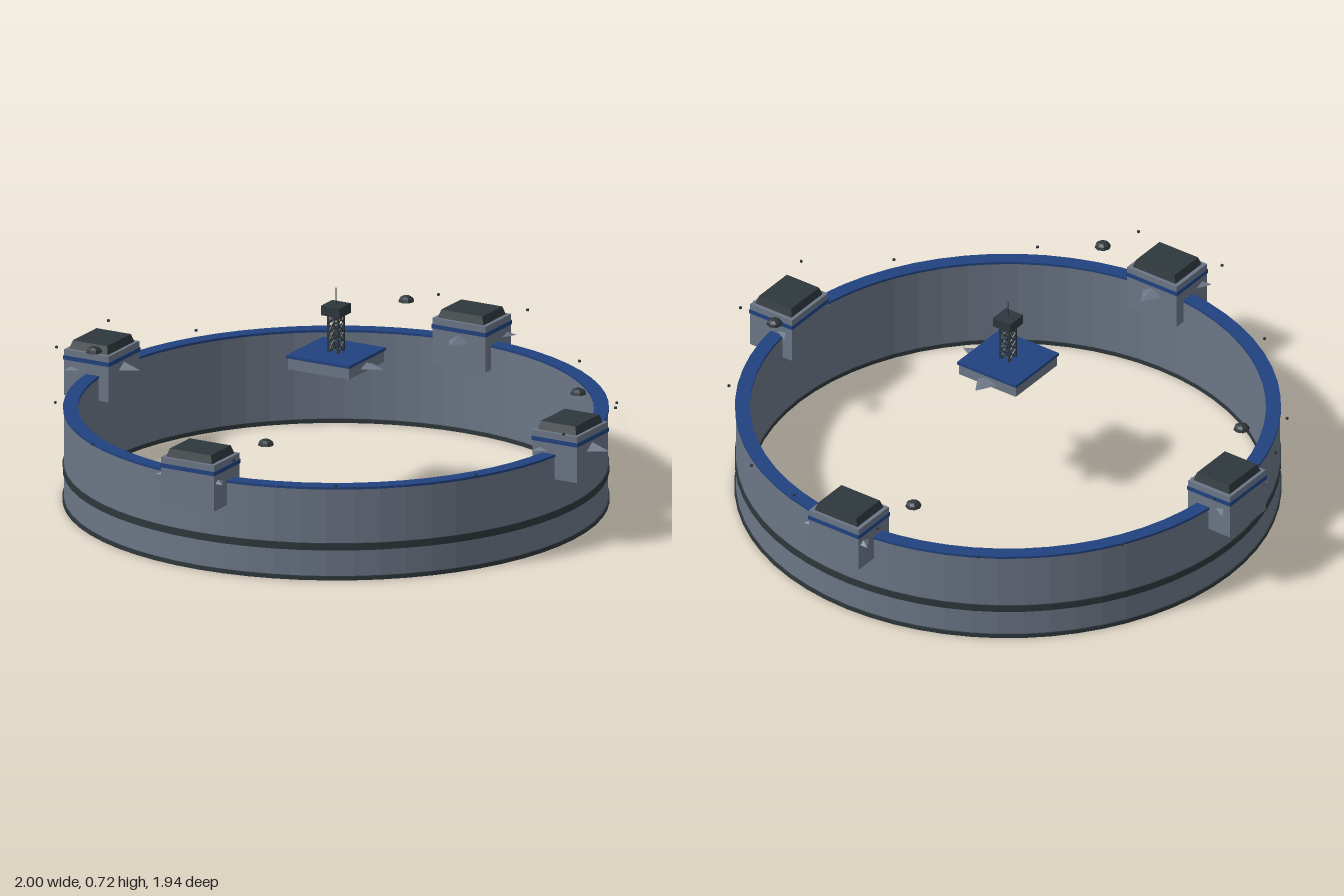
import * as THREE from 'three';

const CX = -0.034, CZ = -0.013; // ring axis

export function createModel() {
  const mat = (name, color) => Object.assign(new THREE.MeshStandardMaterial({ color }), { name });
  const grey = mat('steelGrey', 0x6c7686);
  const dark = mat('charcoal', 0x2e373c);
  const blue = mat('navyBlue', 0x21427f);

  const root = new THREE.Group();
  root.name = 'ringStation';
  const body = new THREE.Group();
  body.name = 'station';
  body.position.set(CX, 0, CZ);
  root.add(body);

  const flat = (geo) => {
    const g = geo.toNonIndexed();
    g.computeVertexNormals();
    return g;
  };
  const add = (parent, name, geo, material, x = 0, y = 0, z = 0) => {
    const m = new THREE.Mesh(geo, material);
    m.name = name;
    m.position.set(x, y, z);
    parent.add(m);
    return m;
  };
  // Box given by its bottom and top heights
  const block = (parent, name, w, d, y0, y1, material, x = 0, z = 0) =>
    add(parent, name, new THREE.BoxGeometry(w, y1 - y0, d), material, x, (y0 + y1) / 2, z);
  // Faceted hoop with a rectangular section
  const hoop = (name, rIn, rOut, y0, y1, material) => {
    const pts = [[rOut, y0], [rOut, y1], [rIn, y1], [rIn, y0], [rOut, y0]]
      .map(([r, y]) => new THREE.Vector2(r, y));
    add(body, name, flat(new THREE.LatheGeometry(pts, 64)), material);
  };
  // Low three-sided spike plate, one corner pointing along local +z
  const spike = (parent, name, r, h, x, y, z, turn) => {
    const m = add(parent, name, flat(new THREE.ConeGeometry(r, h, 3)), grey, x, y + h / 2, z);
    m.rotation.y = turn;
  };
  // Thin rod between two points
  const rod = (parent, name, a, b, t) => {
    const m = add(parent, name, new THREE.BoxGeometry(t, t, a.distanceTo(b)), dark);
    m.position.copy(a).add(b).multiplyScalar(0.5);
    m.quaternion.setFromUnitVectors(new THREE.Vector3(0, 0, 1), b.clone().sub(a).normalize());
  };

  // Ring wall with its bands and coping
  hoop('ringWall', 0.845, 0.889, 0.008, 0.31, grey);
  hoop('baseBand', 0.842, 0.894, 0, 0.014, dark);
  hoop('middleBand', 0.8455, 0.893, 0.102, 0.126, dark);
  hoop('coping', 0.843, 0.892, 0.31, 0.318, blue);

  // Four towers, local +z pointing outwards
  const roofGeo = new THREE.CylinderGeometry(0.5, 0.56, 1, 4, 1);
  roofGeo.rotateY(Math.PI / 4);
  roofGeo.scale(0.155 / Math.SQRT1_2, 0.028, 0.13 / Math.SQRT1_2);
  const roof = flat(roofGeo);
  for (let i = 0; i < 4; i++) {
    const a = i * Math.PI / 2;
    const tower = new THREE.Group();
    tower.name = 'tower' + (i + 1);
    tower.position.set(0.884 * Math.sin(a), 0, 0.884 * Math.cos(a));
    tower.rotation.y = a;
    body.add(tower);
    block(tower, 'towerBlock', 0.2, 0.168, 0.233, 0.39, grey);
    block(tower, 'towerStripe', 0.205, 0.173, 0.355, 0.369, blue);
    add(tower, 'towerRoof', roof, dark, 0, 0.403, 0);
    spike(tower, 'towerSpikes', 0.147, 0.05, 0, 0.325, 0, i === 1 ? 0 : Math.PI);
  }

  // Hovering domes inside the ring
  const domeGeo = new THREE.SphereGeometry(0.027, 8, 3, 0, Math.PI * 2, 0, Math.PI / 2);
  domeGeo.scale(1, 0.75, 1);
  const dome = flat(domeGeo);
  const domeBase = new THREE.CircleGeometry(0.027, 8).rotateX(Math.PI / 2);
  for (let i = 0; i < 4; i++) {
    const a = 0.243 + i * Math.PI / 2;
    const x = 0.823 * Math.sin(a), z = 0.823 * Math.cos(a);
    add(body, 'hoverDome', dome, dark, x, 0.432, z);
    add(body, 'hoverDomeBase', domeBase, dark, x, 0.432, z);
  }

  // Tiny marker lights around the ring
  const marker = new THREE.BoxGeometry(0.007, 0.007, 0.007);
  for (let i = 0; i < 4; i++) {
    for (const [deg, r, y] of [[10, 0.972, 0.417], [-10, 0.972, 0.417], [30, 0.917, 0.331], [60, 0.917, 0.331]]) {
      const a = THREE.MathUtils.degToRad(deg + 90 * i);
      add(body, 'marker', marker, dark, r * Math.sin(a), y, r * Math.cos(a));
    }
  }

  // Floating centre platform
  const platform = new THREE.Group();
  platform.name = 'platform';
  body.add(platform);
  block(platform, 'platformBlock', 0.23, 0.23, 0.458, 0.496, grey);
  block(platform, 'platformDeck', 0.238, 0.238, 0.496, 0.506, blue);
  spike(platform, 'platformSpike', 0.08, 0.015, 0, 0.473, -0.102, Math.PI);
  spike(platform, 'platformSpike', 0.08, 0.015, 0.102, 0.473, 0, Math.PI / 2);

  // Lattice mast
  const mast = new THREE.Group();
  mast.name = 'mast';
  platform.add(mast);
  const h = 0.018, y0 = 0.506, y1 = 0.636, bays = 4;
  const corners = [[-h, -h], [h, -h], [h, h], [-h, h]];
  corners.forEach(([x, z], i) => {
    const [nx, nz] = corners[(i + 1) % 4];
    block(mast, 'mastLeg', 0.006, 0.006, y0, y1, dark, x, z);
    for (let k = 0; k < bays; k++) {
      const lo = y0 + (y1 - y0) * k / bays, hi = y0 + (y1 - y0) * (k + 1) / bays;
      rod(mast, 'mastBrace', new THREE.Vector3(x, lo, z), new THREE.Vector3(nx, hi, nz), 0.004);
      rod(mast, 'mastBrace', new THREE.Vector3(nx, lo, nz), new THREE.Vector3(x, hi, z), 0.004);
    }
  });
  block(mast, 'mastHead', 0.07, 0.072, 0.634, 0.667, dark);
  block(mast, 'antenna', 0.003, 0.002, 0.667, 0.724, dark);

  return root;
}
